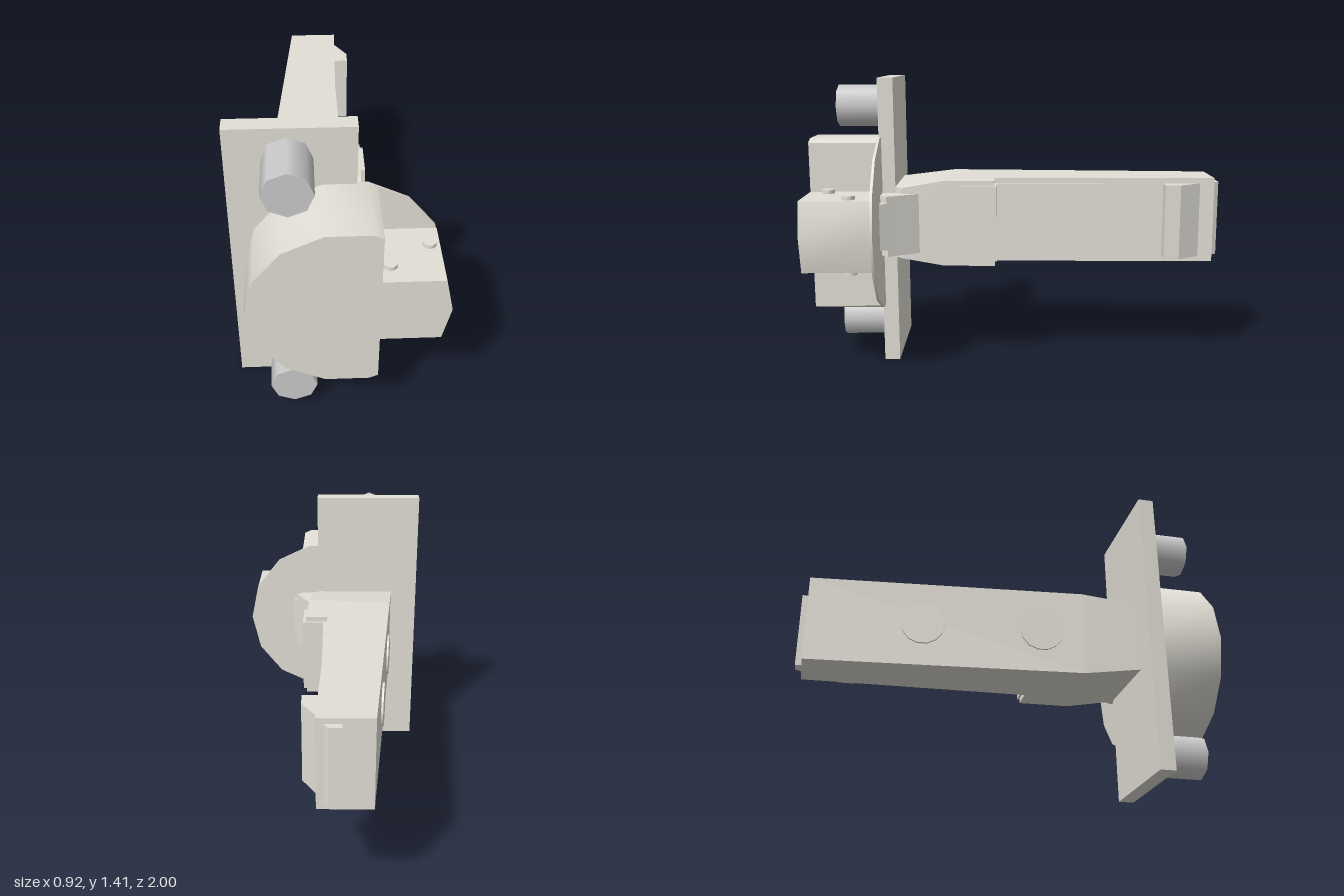
import * as THREE from 'three';
import { toCreasedNormals } from 'three/addons/utils/BufferGeometryUtils.js';
import { ConvexGeometry } from 'three/addons/geometries/ConvexGeometry.js';

const MID = 0.71; // height of the handle's axis

export function createModel() {
  const group = new THREE.Group();
  const body = new THREE.MeshStandardMaterial({ color: 0xe2dfd6 });
  const grey = new THREE.MeshStandardMaterial({ color: 0xcccccc });

  const add = (name, geometry, material = body) => {
    const mesh = new THREE.Mesh(geometry, material);
    mesh.name = name;
    group.add(mesh);
    return mesh;
  };
  const box = (name, x0, x1, y0, y1, z0, z1) =>
    add(name, new THREE.BoxGeometry(x1 - x0, y1 - y0, z1 - z0))
      .position.set((x0 + x1) / 2, (y0 + y1) / 2, (z0 + z1) / 2);

  // Plan outline of [x, z] points, extruded by +-half about the axis height
  const planPart = (name, points, half) => {
    const shape = new THREE.Shape(points.map(([x, z]) => new THREE.Vector2(x, -z)));
    const geo = new THREE.ExtrudeGeometry(shape, { depth: half * 2, bevelEnabled: false });
    geo.rotateX(-Math.PI / 2).translate(0, MID - half, 0);
    return add(name, geo);
  };
  // Convex block from [x, z, half height] corners, mirrored about the axis height
  const hullPart = (name, corners) => add(name, new ConvexGeometry(
    corners.flatMap(([x, z, h]) => [1, -1].map(s => new THREE.Vector3(x, MID + s * h, z)))));
  // Front-facing outline extruded from z0 to z1
  const frontPart = (name, points, z0, z1) => {
    const shape = new THREE.Shape(points.map(([x, y]) => new THREE.Vector2(x, y)));
    const geo = new THREE.ExtrudeGeometry(shape, { depth: z1 - z0, bevelEnabled: false });
    return add(name, toCreasedNormals(geo.translate(0, 0, z0), 0.55));
  };

  // Mounting plate and its two bolts
  box('mountingPlate', -0.463, 0.08, 0, 1.413, 0.605, 0.68);
  for (const y of [0.152, 1.265]) {
    const bolt = add('bolt', new THREE.CylinderGeometry(0.106, 0.106, 0.235, 8).rotateX(Math.PI / 2).rotateZ(Math.PI / 2), grey);
    bolt.position.set(-0.205, y, 0.7975);
  }

  // Fourteen-sided drum with a thin back disc and two corner notches
  const R = 0.43, cx = 0.03, nx = 0.165, nh = 0.167;
  const rim = Array.from({ length: 14 }, (_, i) => {
    const a = i * Math.PI / 7;
    return [cx + R * Math.cos(a), MID + R * Math.sin(a)];
  });
  frontPart('drumBackDisc', rim, 0.668, 0.68);
  frontPart('drum', [
    rim[0], [0.425, MID + nh], [nx, MID + nh], [nx, 1.111],
    ...rim.slice(3, 12),
    [nx, 2 * MID - 1.111], [nx, MID - nh], [0.425, MID - nh],
  ], 0.679, 1);

  // Pin heads, mirrored above and below
  for (const s of [1, -1]) {
    for (const [x, z] of [[0.205, 0.905], [0.38, 0.782]]) {
      add('drumPin', new THREE.CylinderGeometry(0.03, 0.03, 0.03, 16)).position.set(x, MID + s * 0.17, z);
    }
    add('neckPin', new THREE.CylinderGeometry(0.038, 0.038, 0.04, 16)).position.set(0.015, MID + s * 0.172, 0.438);
  }

  // Tapered handle arm with a shoulder near the pivot
  planPart('handleArm', [
    [-0.19, -0.968], [0.052, -0.968], [0.02, 0.12], [0.13, 0.12], [0.12, 0.37], [-0.305, 0.335],
  ], 0.211);

  // Slimmer neck joining arm and plate, with a sloped step
  hullPart('neck', [
    [-0.305, 0.335, 0.211], [0.12, 0.37, 0.211],
    [-0.308, 0.37, 0.176], [0.119, 0.408, 0.176],
    [-0.325, 0.607, 0.176], [0.075, 0.607, 0.176], [0.112, 0.57, 0.176],
  ]);

  // Latch wedge behind the drum
  hullPart('latchWedge', [
    [0.05, 0.48, 0.147], [0.113, 0.485, 0.147], [0.2, 0.635, 0.147], [0.165, 0.67, 0.147], [0.05, 0.67, 0.147],
  ]);
  hullPart('latchTip', [
    [0.08, 0.6, 0.113], [0.18, 0.6, 0.113], [0.222, 0.67, 0.113], [0.08, 0.67, 0.113],
  ]);

  // Raised details on the inner face and end of the arm
  const trim = 0.185;
  planPart('innerPanel', [[0, -0.45], [0.038, -0.45], [0.042, 0.13], [0, 0.13]], trim);
  planPart('innerStop', [[0.02, 0.11], [0.145, 0.11], [0.145, 0.285], [0.1, 0.285], [0.1, 0.2], [0.02, 0.2]], trim);
  planPart('catch', [[0.03, -0.93], [0.115, -0.79], [0.115, -0.715], [0.03, -0.715]], trim);
  planPart('endRib', [[-0.055, -0.96], [-0.055, -1], [0, -1], [0.025, -0.96]], trim);

  // Round caps lying on the sloping outer face
  for (const [x, z] of [[-0.238, -0.43], [-0.287, 0.135]]) {
    const cap = add('outerCap', new THREE.CylinderGeometry(0.104, 0.104, 0.02, 14).rotateZ(Math.PI / 2));
    cap.position.set(x, MID, z);
    cap.rotation.y = -0.095;
  }

  return group;
}
